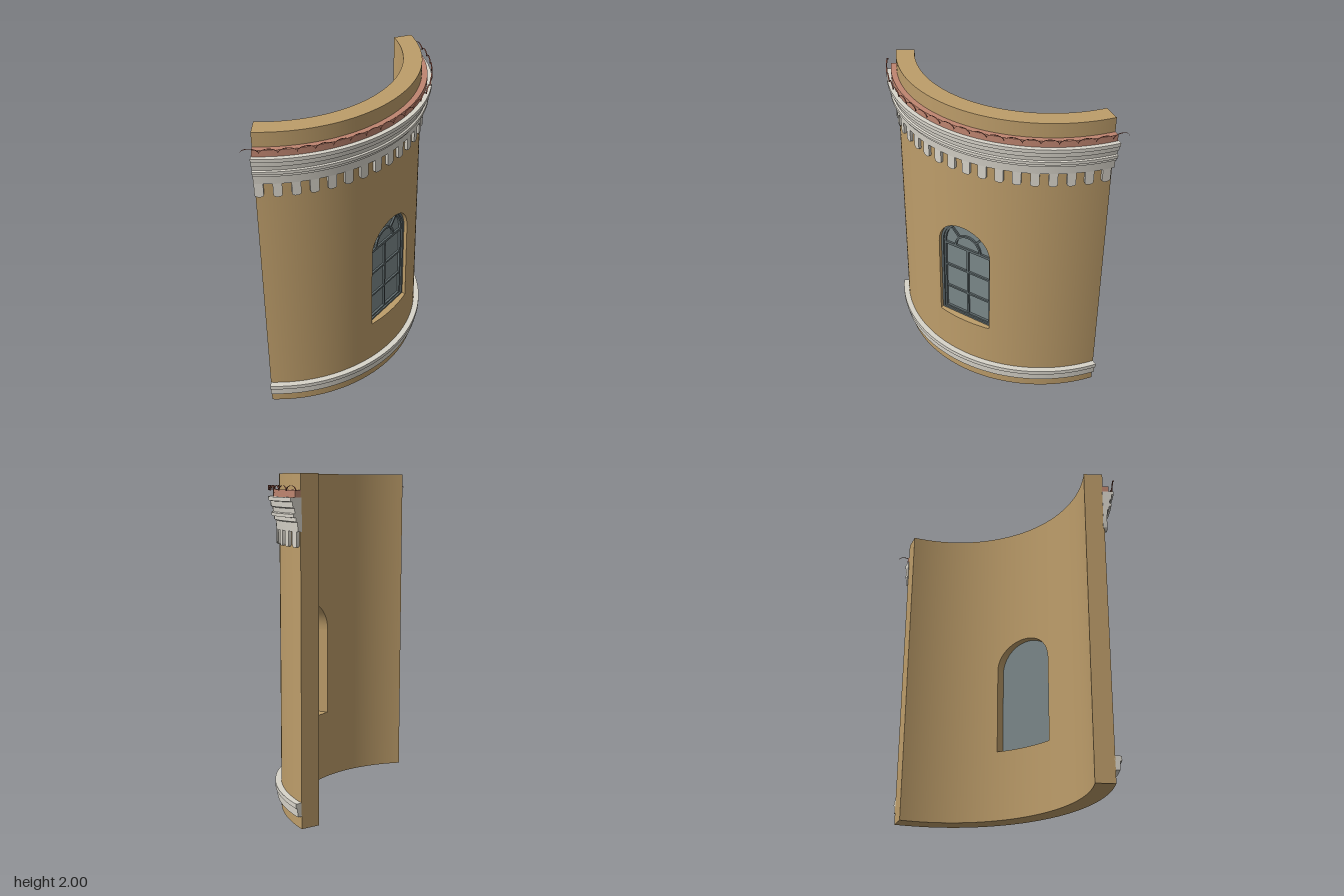
import * as THREE from 'three';
import { mergeGeometries, toCreasedNormals } from 'three/addons/utils/BufferGeometryUtils.js';

const CZ = -0.725;              // centre of the curved wall in z
const RO = 0.925, RI = 0.81;    // outer and inner wall radius
const END = 0.975;              // half angle of the wall
const WIN = { w: 0.19, y0: 0.44, spring: 0.995 };

function mat(name, color, side = THREE.FrontSide) {
  const m = new THREE.MeshStandardMaterial({ color, side });
  m.name = name;
  return m;
}

// Curved wall with an arched opening, built from columns of quads
function wallGeometry() {
  const pos = [];
  const quad = (a, b, c, d) => pos.push(...a, ...b, ...c, ...a, ...c, ...d);
  const column = (ao, ai) => ({
    o: [RO * Math.sin(ao), CZ + RO * Math.cos(ao)],
    i: [RI * Math.sin(ai), CZ + RI * Math.cos(ai)],
  });
  const at = (p, y) => [p[0], y, p[1]];
  const slab = (cols, lo, hi, caps) => {
    for (let k = 0; k < cols.length - 1; k++) {
      const p = cols[k], q = cols[k + 1];
      const l0 = lo(k), l1 = lo(k + 1), h0 = hi(k), h1 = hi(k + 1);
      quad(at(p.o, l0), at(q.o, l1), at(q.o, h1), at(p.o, h0));
      quad(at(q.i, l1), at(p.i, l0), at(p.i, h0), at(q.i, h1));
      quad(at(p.o, h0), at(q.o, h1), at(q.i, h1), at(p.i, h0));
      quad(at(p.i, l0), at(q.i, l1), at(q.o, l1), at(p.o, l0));
    }
    if (!caps) return;
    const p = cols[0], q = cols[cols.length - 1], n = cols.length - 1;
    quad(at(p.i, lo(0)), at(p.o, lo(0)), at(p.o, hi(0)), at(p.i, hi(0)));
    quad(at(q.o, lo(n)), at(q.i, lo(n)), at(q.i, hi(n)), at(q.o, hi(n)));
  };
  const eo = Math.asin(WIN.w / RO), ei = Math.asin(WIN.w / RI);
  const N = 24, M = 24;
  // plain wall on either side of the opening
  for (const s of [-1, 1]) {
    const cols = [];
    for (let k = 0; k <= N; k++) {
      const t = s < 0 ? 1 - k / N : k / N;
      cols.push(column(s * (eo + (END - eo) * t), s * (ei + (END - ei) * t)));
    }
    slab(cols, () => 0, () => 2, true);
  }
  // wall below and above the opening
  const mid = [], arch = [];
  for (let k = 0; k <= M; k++) {
    const t = Math.PI * k / M, x = -WIN.w * Math.cos(t);
    mid.push(column(Math.asin(x / RO), Math.asin(x / RI)));
    arch.push(WIN.spring + WIN.w * Math.sin(t));
  }
  slab(mid, () => 0, () => WIN.y0, false);
  slab(mid, k => arch[k], () => 2, false);
  const g = new THREE.BufferGeometry();
  g.setAttribute('position', new THREE.Float32BufferAttribute(pos, 3));
  return toCreasedNormals(g, 0.5);
}

// Moulding: closed (radius, height) profile swept round the wall, with end caps
function bandGeometry(profile, half) {
  const pts = profile.map(p => new THREE.Vector2(p[0], p[1]));
  const parts = [toCreasedNormals(
    new THREE.LatheGeometry([...pts, pts[0].clone()], 56, -half, 2 * half), 0.4)];
  for (const a of [-half, half]) {
    const cap = new THREE.ShapeGeometry(new THREE.Shape(pts));
    cap.rotateY(a - Math.PI / 2);
    if (a > 0) cap.index.array.reverse();
    cap.computeVertexNormals();
    parts.push(cap.toNonIndexed());
  }
  return mergeGeometries(parts).translate(0, 0, CZ);
}

// Outline of a round-headed window
function archPath(path, w, y0, spring) {
  path.moveTo(-w, y0);
  path.lineTo(w, y0);
  path.lineTo(w, spring);
  path.absarc(0, spring, w, 0, Math.PI, false);
  path.lineTo(-w, y0);
  return path;
}

const extrude = (shape, depth) => toCreasedNormals(
  new THREE.ExtrudeGeometry(shape, { depth, bevelEnabled: false, curveSegments: 20 }), 0.5);

export function createModel() {
  const root = new THREE.Group();
  const wallMat = mat('ochre plaster', 0xbd9d6a);
  const trimMat = mat('pale stone', 0xd8d4ca);
  const brickMat = mat('terracotta', 0xbf8570);
  const tileMat = mat('dark terracotta', 0x8f5647, THREE.DoubleSide);
  const frameMat = mat('slate frame', 0x5f6a6c);
  const glassMat = mat('grey glass', 0x7b888a);
  const add = (name, geo, material, parent = root) => {
    const m = new THREE.Mesh(geo, material);
    m.name = name;
    parent.add(m);
    return m;
  };
  const group = name => {
    const g = new THREE.Group();
    g.name = name;
    root.add(g);
    return g;
  };

  add('curvedWall', wallGeometry(), wallMat);

  // stepped stone mouldings
  add('baseMoulding', bandGeometry([
    [0.92, 0.075], [0.95, 0.075], [0.952, 0.125], [0.962, 0.128], [0.962, 0.155], [0.92, 0.155],
  ], END), trimMat);
  add('cornice', bandGeometry([
    [0.92, 1.685], [0.943, 1.685], [0.947, 1.735], [0.956, 1.74], [0.956, 1.76],
    [0.972, 1.762], [0.972, 1.78], [0.962, 1.785], [0.965, 1.81], [0.975, 1.815],
    [0.977, 1.845], [0.989, 1.848], [0.989, 1.87], [0.92, 1.87],
  ], END + 0.005), trimMat);
  add('brickCourse', bandGeometry([
    [0.92, 1.87], [0.96, 1.87], [0.96, 1.91], [0.92, 1.91],
  ], END), brickMat);

  // round-ended teeth under the cornice
  const teeth = group('corniceTeeth');
  const tooth = new THREE.Shape();
  const tw = 0.026;
  tooth.moveTo(tw, 1.69);
  tooth.lineTo(-tw, 1.69);
  tooth.lineTo(-tw, 1.615);
  tooth.quadraticCurveTo(-tw, 1.598, 0, 1.598);
  tooth.quadraticCurveTo(tw, 1.598, tw, 1.615);
  const toothGeo = extrude(tooth, 0.025).translate(0, 0, 0.917);
  for (let k = 0; k < 18; k++) {
    const t = add('tooth', toothGeo, trimMat, teeth);
    t.position.z = CZ;
    t.rotation.y = THREE.MathUtils.degToRad(-54.5 + 6.35 * k);
  }

  // thin arched tile edges along the top of the cornice
  const tiles = group('tileEdges');
  const tileGeo = new THREE.CylinderGeometry(0.051, 0.051, 0.008, 12, 1, true, -Math.PI / 2, Math.PI)
    .rotateX(-Math.PI / 2).scale(1, 0.55, 1).translate(0, 1.905, 0.986);
  for (let k = 0; k < 20; k++) {
    const t = add('tileEdge', tileGeo, tileMat, tiles);
    t.position.z = CZ;
    t.rotation.y = THREE.MathUtils.degToRad(-56.2 + 112.4 * k / 19);
  }

  // window set back in the opening
  const win = group('window');
  const ring = (w0, y0, w1, y1) => {
    const s = archPath(new THREE.Shape(), w0, y0, WIN.spring);
    s.holes.push(archPath(new THREE.Path(), w1, y1, WIN.spring));
    return s;
  };
  add('outerFrame', extrude(ring(0.19, 0.44, 0.175, 0.452), 0.03).translate(0, 0, 0.127), frameMat, win);
  add('innerFrame', extrude(ring(0.175, 0.452, 0.163, 0.462), 0.02).translate(0, 0, 0.127), frameMat, win);
  add('glass', extrude(archPath(new THREE.Shape(), 0.189, 0.441, WIN.spring), 0.006)
    .translate(0, 0, 0.126), glassMat, win);
  const bar = (name, w, h, x, y, turn = 0) => {
    const b = add(name, new THREE.BoxGeometry(w, h, 0.014), frameMat, win);
    b.position.set(x, y, 0.137);
    b.rotation.z = turn;
  };
  bar('mullion', 0.013, 0.52, 0, 0.715);
  for (const y of [0.625, 0.8]) bar('glazingBar', 0.33, 0.013, 0, y);
  bar('transom', 0.33, 0.018, 0, 0.975);
  for (const s of [-1, 1]) {
    const a = Math.PI / 2 - s * 0.75;
    bar('fanSpoke', 0.075, 0.013, 0.13 * Math.cos(a), 0.985 + 0.13 * Math.sin(a), a);
  }
  const fan = new THREE.Shape();
  fan.absarc(0, 0.982, 0.097, 0, Math.PI, false);
  fan.absarc(0, 0.982, 0.084, Math.PI, 0, true);
  add('fanArc', extrude(fan, 0.014).translate(0, 0, 0.13), frameMat, win);

  return root;
}
